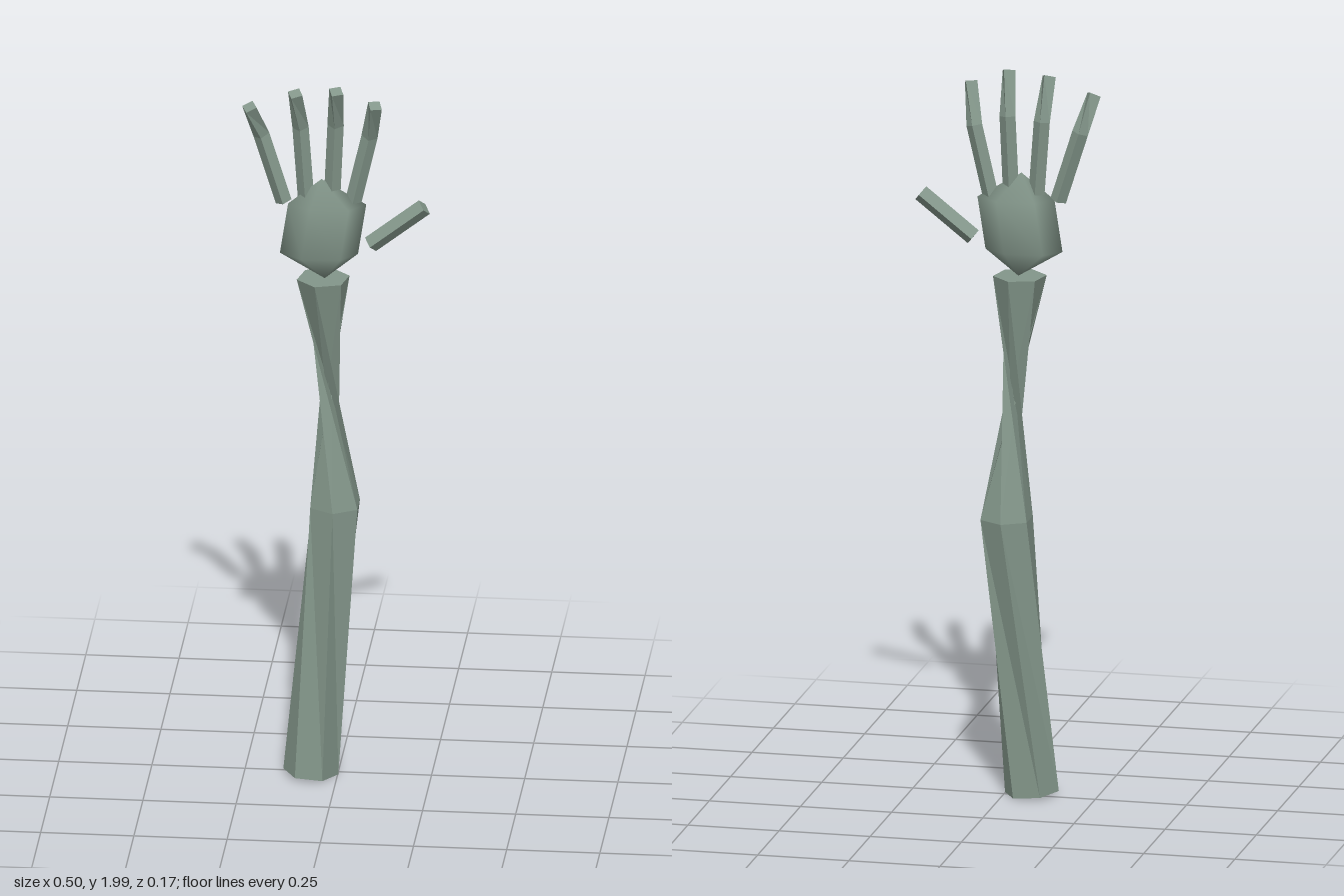
import * as THREE from 'three';
import { mergeVertices } from 'three/addons/utils/BufferGeometryUtils.js';

const rad = THREE.MathUtils.degToRad;

// Corners of a regular polygon around c, square to dir, first corner towards +z plus a twist
function ring(c, dir, r, sides, twist) {
  const w = new THREE.Vector3(...dir).normalize();
  const u = new THREE.Vector3(0, 0, 1);
  u.addScaledVector(w, -u.dot(w)).normalize();
  const v = new THREE.Vector3().crossVectors(w, u);
  return Array.from({ length: sides }, (_, i) => {
    const a = rad(twist) + (i / sides) * Math.PI * 2;
    return new THREE.Vector3(...c)
      .addScaledVector(u, Math.cos(a) * r)
      .addScaledVector(v, Math.sin(a) * r);
  });
}

// Faceted skin through a list of rings, closed at both ends
function loft(rings) {
  const pts = [];
  const n = rings[0].length;
  for (let k = 0; k < rings.length - 1; k++) {
    const b = rings[k], t = rings[k + 1];
    for (let i = 0; i < n; i++) {
      const j = (i + 1) % n;
      pts.push(b[i], b[j], t[i], b[j], t[j], t[i]);
    }
  }
  const first = rings[0], last = rings[rings.length - 1];
  for (let i = 1; i < n - 1; i++) {
    pts.push(first[0], first[i + 1], first[i], last[0], last[i], last[i + 1]);
  }
  const geo = new THREE.BufferGeometry().setFromPoints(pts);
  geo.computeVertexNormals();
  return geo;
}

export function createModel() {
  const group = new THREE.Group();
  const settings = { color: 0x83968a };
  const skin = new THREE.MeshStandardMaterial({ ...settings, side: THREE.DoubleSide });
  skin.name = 'greyGreenSkin';

  const add = (name, geo) => {
    const mesh = new THREE.Mesh(geo, skin);
    mesh.name = name;
    group.add(mesh);
  };

  // Upper arm: gently twisted hexagonal prism
  const elbow = ring([-0.01, 0.77, -0.013], [0, 1, 0], 0.073, 6, 0);
  add('upperArm', loft([
    ring([-0.072, 0.008, 0.018], [0.08, 1, -0.03], 0.074, 6, 30),
    elbow,
  ]));

  // Forearm: strongly twisted, pinched at the middle
  add('forearm', loft([
    elbow,
    ring([-0.039, 1.435, 0.018], [0, 1, 0], 0.072, 6, -133),
  ]));

  // Palm: flattened six-sided ball with its two rings pushed slightly apart
  const ball = new THREE.SphereGeometry(1, 6, 3);
  ball.deleteAttribute('uv');
  ball.deleteAttribute('normal');
  const palm = mergeVertices(ball, 1e-3);
  palm.rotateY(rad(6));
  palm.scale(0.121, 0.143, 0.066);
  const p = palm.attributes.position;
  for (let i = 0; i < p.count; i++) {
    const y = p.getY(i);
    const shift = Math.abs(y) < 0.1 ? 0.011 * Math.sign(y) : -0.03 * y;
    p.setX(i, p.getX(i) + shift);
  }
  palm.translate(-0.039, 1.577, 0.019);
  palm.computeVertexNormals();
  add('palm', palm);

  // Four fingers: base, knuckle and tip, bent forward
  const fingers = [
    ['littleFinger', [-0.145, 1.65], [-0.205, 1.84], [-0.233, 1.937]],
    ['ringFinger', [-0.085, 1.66], [-0.1, 1.865], [-0.11, 1.98]],
    ['middleFinger', [-0.015, 1.67], [-0.006, 1.875], [0, 1.99]],
    ['indexFinger', [0.04, 1.65], [0.085, 1.845], [0.104, 1.953]],
  ];
  for (const [name, a, b, c] of fingers) {
    const lower = [b[0] - a[0], b[1] - a[1], 0];
    const upper = [c[0] - b[0], c[1] - b[1], 0.045];
    const middle = lower.map((d, i) => d + upper[i]);
    add(name, loft([
      ring([...a, 0.015], lower, 0.022, 4, 0),
      ring([...b, 0.014], middle, 0.022, 4, 0),
      ring([...c, 0.058], upper, 0.022, 4, -25),
    ]));
  }

  // Thumb: one straight segment
  const reach = [0.14, 0.112, 0];
  add('thumb', loft([
    ring([0.088, 1.535, 0.015], reach, 0.024, 4, 0),
    ring([0.232, 1.648, 0.015], reach, 0.024, 4, 0),
  ]));

  return group;
}
